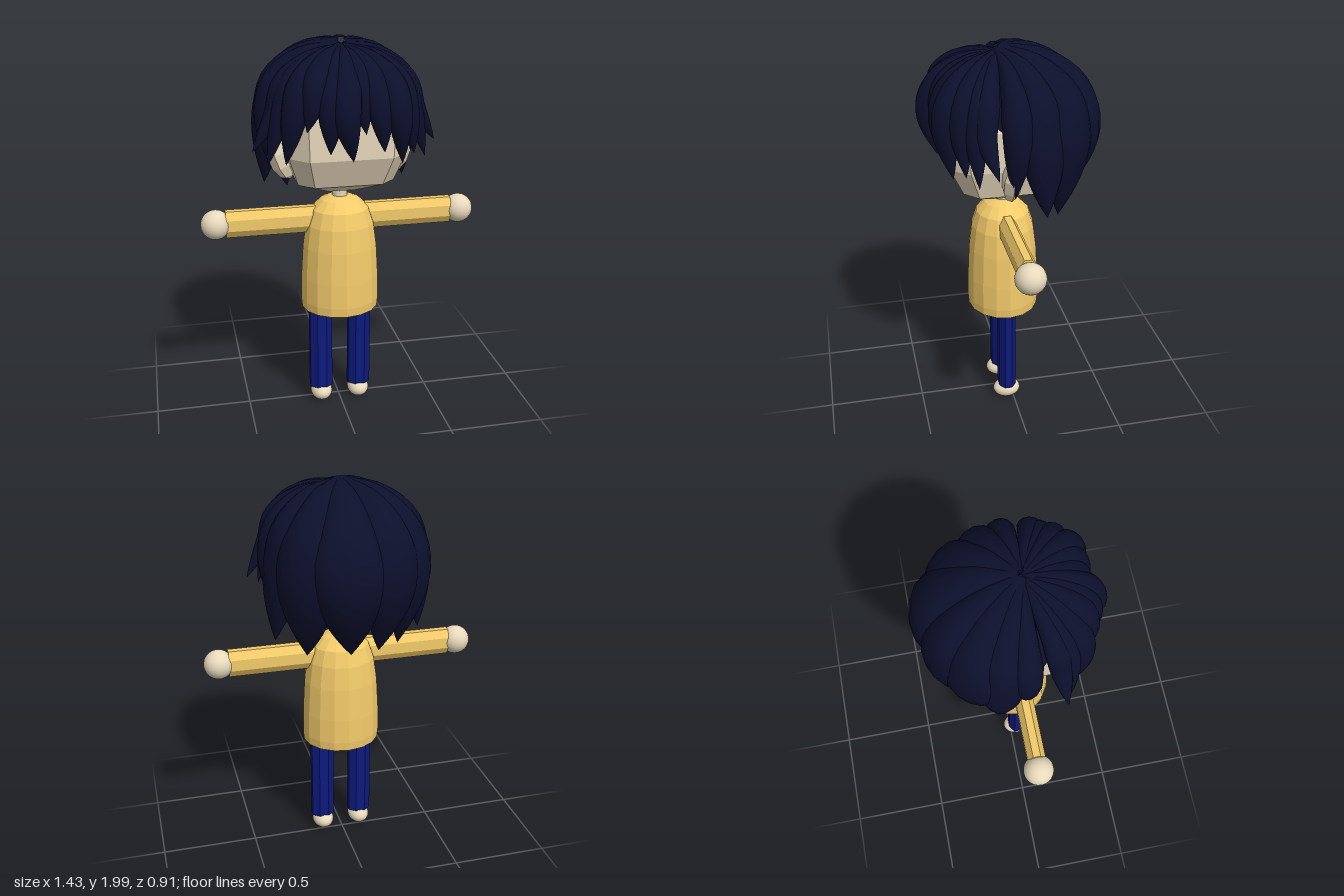
import * as THREE from 'three';

const MID_Z = 0.035;
const mat = (color, flatShading = false) => new THREE.MeshStandardMaterial({ color, flatShading });
const skin = mat(0xe8dabc), skinFlat = mat(0xe8dabc, true);
const shirt = mat(0xf3cb6a, true), trousers = mat(0x0d1a7c, true), hairMat = mat(0x0c102c);

function add(parent, name, geometry, material, x = 0, y = 0, z = 0) {
  const mesh = new THREE.Mesh(geometry, material);
  mesh.name = name;
  mesh.position.set(x, y, z);
  parent.add(mesh);
  return mesh;
}

// Skin a list of closed rings (counterclockwise about the direction of travel)
function loft(rings) {
  const n = rings[0].length, index = [];
  for (let i = 0; i < rings.length - 1; i++) {
    for (let j = 0; j < n; j++) {
      const a = i * n + j, b = i * n + (j + 1) % n;
      index.push(a, b, a + n, b, b + n, a + n);
    }
  }
  const g = new THREE.BufferGeometry().setFromPoints(rings.flat());
  g.setIndex(index);
  g.computeVertexNormals();
  return g;
}

// Chamfered-box head from octagonal rings: height, half width, half depth
function headGeometry() {
  const k = 0.7;
  const corners = [[k, 1], [1, k], [1, -k], [k, -1], [-k, -1], [-1, -k], [-1, k], [-k, 1]];
  const levels = [[1.22, 0, 0], [1.225, 0.1, 0.06], [1.3, 0.24, 0.225], [1.45, 0.29, 0.295],
    [1.65, 0.3, 0.3], [1.8, 0.24, 0.24], [1.86, 0.1, 0.1], [1.865, 0, 0]];
  return loft(levels.map(([y, hx, hz]) =>
    corners.map(([x, z]) => new THREE.Vector3(x * hx, y, MID_Z + z * hz))));
}

// One lock: arcs from the crown over a bulge, then narrows to its tip
function lockGeometry([bx, by, bz, tx, ty, tz, width, thick]) {
  const crown = new THREE.Vector3(0, 1.93, 0.06);
  const centre = new THREE.Vector3(0, 1.55, MID_Z);
  const points = [0, 30, 60, 90].map((deg) => {
    const a = THREE.MathUtils.degToRad(deg), s = Math.sin(a);
    return new THREE.Vector3(crown.x + (bx - crown.x) * s,
      by + (crown.y - by) * Math.cos(a), crown.z + (bz - crown.z) * s);
  });
  points.push(new THREE.Vector3(tx, ty, tz));
  const curve = new THREE.CatmullRomCurve3(points);
  const rings = [], steps = 22, sides = 14;
  for (let i = 0; i <= steps; i++) {
    const t = i / steps, p = curve.getPointAt(t), tangent = curve.getTangentAt(t);
    const out = p.clone().sub(centre);
    out.addScaledVector(tangent, -out.dot(tangent)).normalize();
    const side = out.clone().cross(tangent);
    const taper = 1 - Math.max(0, (t - 0.55) / 0.45) ** 2;
    const w = width * Math.min(1, 0.25 + 1.5 * t) * taper;
    const h = thick * Math.min(1, 0.6 + t) * taper;
    rings.push(Array.from({ length: sides }, (_, j) => {
      const a = j / sides * Math.PI * 2;
      return p.clone().addScaledVector(side, Math.cos(a) * w).addScaledVector(out, Math.sin(a) * h);
    }));
  }
  return loft(rings);
}

// Each row: bulge x y z, tip x y z, half width, half thickness
const backLocks = [
  [0.06, 1.58, -0.35, 0.02, 1.17, -0.25, 0.17, 0.1],
  [-0.16, 1.58, -0.31, -0.12, 1.18, -0.25, 0.15, 0.1],
  [-0.28, 1.58, -0.21, -0.24, 1.18, -0.18, 0.15, 0.1],
  [-0.33, 1.62, -0.09, -0.37, 1.23, -0.11, 0.12, 0.09],
  [0.23, 1.58, -0.24, 0.23, 1.17, -0.2, 0.16, 0.1],
  [0.31, 1.62, -0.09, 0.37, 1.23, -0.11, 0.12, 0.09],
];
const sideLocks = [
  [-0.36, 1.64, 0.02, -0.34, 1.33, 0.03, 0.075, 0.07],
  [0.35, 1.64, 0.03, 0.34, 1.33, 0.04, 0.075, 0.07],
  [-0.35, 1.66, 0.18, -0.46, 1.48, 0.2, 0.06, 0.05],
  [0.35, 1.66, 0.18, 0.46, 1.48, 0.14, 0.06, 0.05],
  [-0.32, 1.67, 0.22, -0.39, 1.42, 0.23, 0.06, 0.05],
  [0.32, 1.67, 0.22, 0.39, 1.42, 0.22, 0.06, 0.05],
];
const fringeLocks = [
  [-0.27, 1.67, 0.29, -0.31, 1.43, 0.28, 0.07, 0.06],
  [-0.19, 1.72, 0.34, -0.22, 1.6, 0.35, 0.07, 0.055],
  [-0.11, 1.68, 0.37, -0.11, 1.49, 0.36, 0.07, 0.055],
  [-0.04, 1.66, 0.4, 0, 1.45, 0.36, 0.07, 0.06],
  [0.04, 1.71, 0.36, 0.06, 1.58, 0.36, 0.06, 0.05],
  [0.13, 1.68, 0.36, 0.15, 1.49, 0.36, 0.075, 0.055],
  [0.22, 1.67, 0.35, 0.25, 1.42, 0.32, 0.075, 0.06],
  [0.28, 1.67, 0.28, 0.32, 1.45, 0.27, 0.065, 0.06],
];

export function createModel() {
  const model = new THREE.Group();
  model.name = 'figure';

  // Bell-shaped shirt
  const profile = [[0, 0.56], [0.18, 0.56], [0.202, 0.572], [0.207, 0.62], [0.205, 0.75], [0.195, 0.92],
    [0.178, 1.04], [0.15, 1.12], [0.1, 1.168], [0.06, 1.185], [0, 1.19]];
  const torso = new THREE.LatheGeometry(profile.map(([r, y]) => new THREE.Vector2(r, y)), 16);
  torso.scale(1, 1, 0.91);
  add(model, 'shirt', torso, shirt, 0, 0, MID_Z);

  // Head and neck
  add(model, 'neck', new THREE.CylinderGeometry(0.04, 0.04, 0.12, 12), skin, 0, 1.2, MID_Z);
  add(model, 'head', headGeometry().toNonIndexed(), skinFlat);

  // Paired limbs, hands, feet and ears
  const prism = (length) => new THREE.CylinderGeometry(0.065, 0.065, length, 8).rotateY(Math.PI / 8);
  for (const s of [1, -1]) {
    const label = s > 0 ? 'left' : 'right';
    const arm = prism(0.5).scale(1.15, 1, 0.75).rotateZ(Math.PI / 2);
    add(model, label + 'Arm', arm, shirt, s * 0.34, 1.068, MID_Z);
    add(model, label + 'Hand', new THREE.SphereGeometry(0.076, 24, 16), skin, s * 0.64, 1.068, MID_Z);
    add(model, label + 'Leg', prism(0.52).scale(1, 1, 0.75), trousers, s * 0.105, 0.345, MID_Z);
    const foot = new THREE.SphereGeometry(1, 24, 16).scale(0.058, 0.05, 0.074);
    add(model, label + 'Foot', foot, skin, s * 0.103, 0.05, MID_Z);
    const ear = new THREE.SphereGeometry(1, 6, 5).scale(0.07, 0.115, 0.05);
    add(model, label + 'Ear', ear, skinFlat, s * 0.295, 1.4, 0.05).rotation.z = -s * 0.35;
  }

  // Hair: an under-cap tilted back, covered by overlapping locks
  const hair = new THREE.Group();
  hair.name = 'hair';
  model.add(hair);
  const capMat = hairMat.clone();
  capMat.side = THREE.DoubleSide;
  const cap = new THREE.SphereGeometry(0.345, 32, 16, 0, Math.PI * 2, 0, Math.PI * 0.5);
  add(hair, 'hairCap', cap, capMat, 0, 1.58, 0.01).rotation.x = -0.75;
  for (const [name, locks] of Object.entries({ backLock: backLocks, sideLock: sideLocks, fringeLock: fringeLocks })) {
    locks.forEach((row, i) => add(hair, name + (i + 1), lockGeometry(row), hairMat));
  }
  return model;
}
